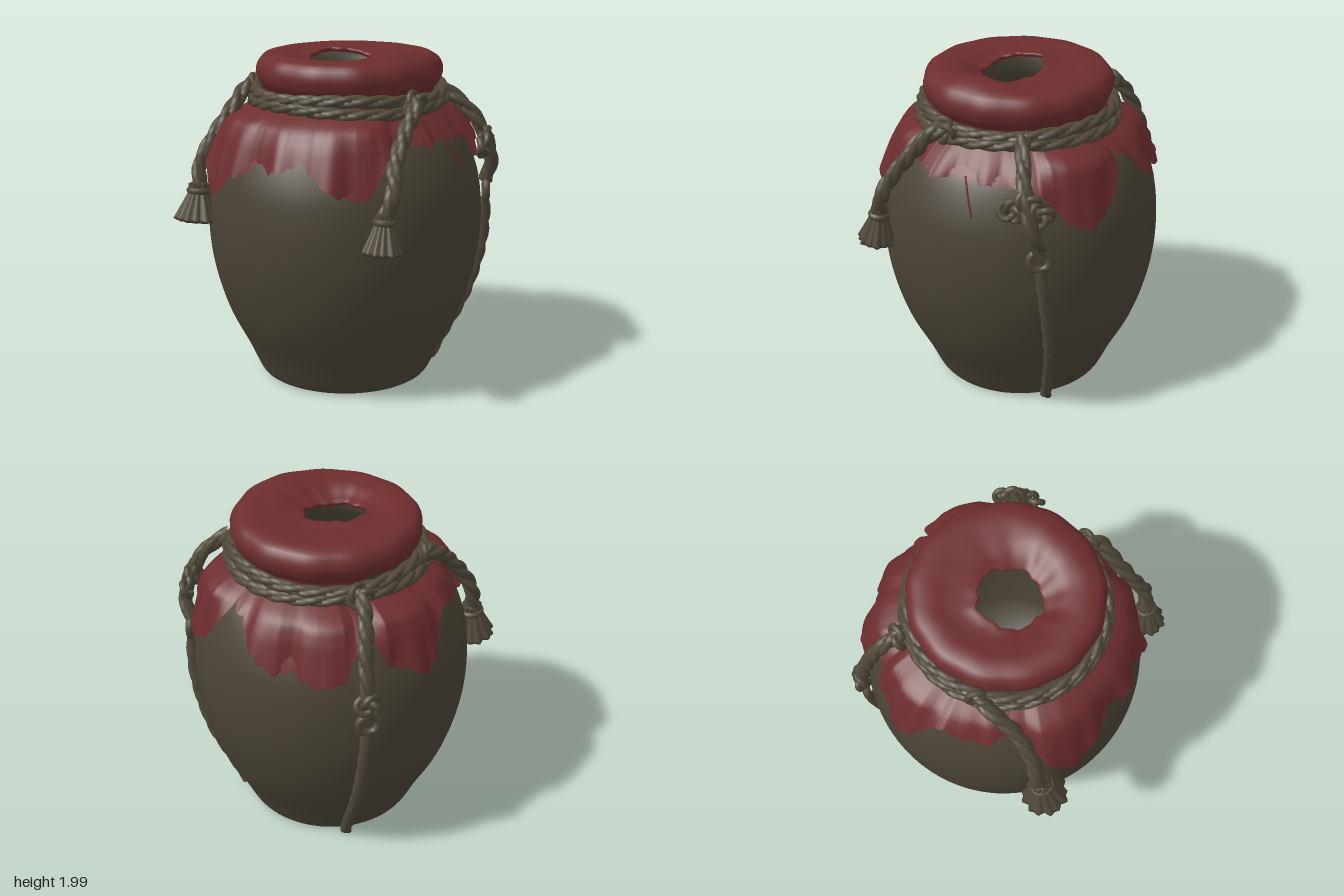
import * as THREE from 'three';
import { ParametricGeometry } from 'three/addons/geometries/ParametricGeometry.js';

const V = (x, y, z) => new THREE.Vector3(x, y, z);
const TAU = Math.PI * 2;
const { lerp, degToRad, smoothstep } = THREE.MathUtils;
const spline = points => new THREE.SplineCurve(points.map(p => new THREE.Vector2(p[0], p[1])));
const smooth = table => spline(table).getPoints(60).map(p => [p.x, p.y]);

// Linear lookup in rows of [key, value, ...]
function lookup(table, k, column = 1) {
  if (k <= table[0][0]) return table[0][column];
  for (let i = 1; i < table.length; i++) {
    const a = table[i - 1], b = table[i];
    if (k <= b[0]) return lerp(a[column], b[column], (k - a[0]) / (b[0] - a[0]));
  }
  return table[table.length - 1][column];
}

// Jar silhouette: height, radius
const JAR = smooth([[0.01, 0.5], [0.04, 0.53], [0.2, 0.603], [0.4, 0.703], [0.6, 0.77], [0.8, 0.81], [1, 0.821],
  [1.2, 0.805], [1.35, 0.765], [1.5, 0.695], [1.6, 0.61], [1.68, 0.5], [1.74, 0.46]]);
const JAR_X = -0.02, NECK_X = 0.01;

// Cloth skirt where it stands off the jar: height, radius
const SKIRT = smooth([[1.2, 0.845], [1.3, 0.825], [1.45, 0.78], [1.55, 0.745], [1.62, 0.7], [1.67, 0.6], [1.7, 0.5]]);
// Cloth hem: angle from the front towards +x in degrees, height, how far it stands off the jar
const HEM = [[0, 1.39, 0.7], [5, 1.41, 0.6], [10, 1.43, 0.6], [11, 1.48, 0.6], [17, 1.4, 0.6], [25, 1.31, 0.8], [36, 1.26, 1],
  [42, 1.3, 1], [47, 1.44, 0.8], [53, 1.54, 0.3], [62, 1.54, 0.2], [70, 1.51, 0.2], [80, 1.53, 0.15], [95, 1.51, 0.2],
  [107, 1.51, 0.2], [118, 1.5, 0.4], [124, 1.42, 1], [130, 1.32, 1.2], [138, 1.27, 1.3], [148, 1.33, 1.3], [154, 1.45, 0.9],
  [160, 1.6, 0.3], [168, 1.56, 0.3], [176, 1.43, 0.6], [188, 1.33, 0.8], [195, 1.37, 0.7], [205, 1.31, 0.9], [217, 1.34, 0.9],
  [222, 1.5, 0.3], [229, 1.54, 0.2], [235, 1.38, 0.8], [245, 1.33, 0.9], [251, 1.27, 0.9], [258, 1.34, 0.8], [263, 1.46, 0.5],
  [270, 1.56, 0.2], [280, 1.51, 0.3], [290, 1.49, 0.4], [299, 1.55, 0.3], [309, 1.54, 0.3], [315, 1.4, 0.8], [325, 1.22, 1],
  [328, 1.19, 1], [333, 1.24, 0.9], [339, 1.33, 0.8], [346, 1.36, 0.7], [352, 1.44, 0.7], [357, 1.39, 0.7], [360, 1.39, 0.7]];

// Cloth over the mouth, from the tied neck to the torn hole
const cap = spline([[0.5, 1.7], [0.495, 1.76], [0.53, 1.81], [0.545, 1.88], [0.51, 1.945], [0.43, 1.967],
  [0.33, 1.955], [0.24, 1.935], [0.18, 1.925], [0.185, 1.9]]);

function clothPoint(u, v, target) {
  const a = u * TAU, deg = u * 360;
  let r, y, x = NECK_X, inner = 0;
  if (v < 0.5) {
    const s = v * 2;
    const hem = lookup(HEM, deg) + 0.009 * Math.sin(61 * a) + 0.006 * Math.sin(97 * a);
    y = lerp(hem, 1.7, s);
    x = lerp(JAR_X, NECK_X, smoothstep(y, 1.6, 1.7));
    const fold = 0.022 * Math.sin(7 * a) + 0.014 * Math.sin(16 * a + 1) + 0.006 * Math.sin(31 * a);
    const base = lookup(JAR, y) + 0.014;
    const standOff = (lookup(SKIRT, y) - base) * lookup(HEM, deg, 2);
    r = Math.max(base, base + standOff + fold * (1 - s));
  } else {
    const t = (v - 0.5) * 2;
    const p = cap.getPoint(t);
    inner = smoothstep(t, 0.5, 0.9);
    r = p.x + 0.004 * Math.sin(13 * a) + inner * (0.007 * Math.sin(5 * a) + 0.005 * Math.sin(8 * a));
    const bump = Math.exp(-(((deg - 75) / 28) ** 2)) * Math.exp(-(((t - 0.64) / 0.14) ** 2));
    // the torn edge is low at the front right and high at the back left
    y = p.y + 0.036 * bump - 0.038 * smoothstep(t, 0.65, 0.9) * Math.cos(a - Math.PI / 4);
  }
  target.set(x + r * Math.sin(a) - 0.03 * inner, y, r * Math.cos(a) + 0.04 * inner);
}

// Three-strand twisted rope swept along points
function ropeGeometry(points, radius, closed = false) {
  const curve = new THREE.CatmullRomCurve3(points, closed);
  const length = curve.getLength();
  const n = Math.ceil(length * 80);
  const frames = curve.computeFrenetFrames(n, closed);
  const twist = Math.round(length / 0.28) * TAU;
  return new ParametricGeometry((u, v, target) => {
    const i = Math.min(n, Math.round(v * n));
    const a = u * TAU;
    const r = radius * (0.7 + 0.35 * Math.abs(Math.cos(1.5 * a + v * twist)));
    curve.getPointAt(Math.min(v, 1), target);
    target.addScaledVector(frames.normals[i], r * Math.cos(a)).addScaledVector(frames.binormals[i], r * Math.sin(a));
  }, 15, n);
}

// Frayed bundle from the bottom centre to the closed top: position, radius, height
const TASSEL = [[0, 0, 0.02], [0.1, 0.85, 0], [0.2, 1, 0.01], [0.6, 0.62, 0.12], [0.8, 0.42, 0.18], [0.9, 0.46, 0.22], [1, 0, 0.25]];
function tasselGeometry(radius) {
  return new ParametricGeometry((u, v, target) => {
    const a = u * TAU;
    const r = radius * lookup(TASSEL, v) * (1 + 0.07 * Math.sin(13 * a) + 0.05 * Math.sin(7 * a));
    target.set(r * Math.sin(a), lookup(TASSEL, v, 2), r * Math.cos(a));
  }, 52, 20);
}

// Point lying just off the jar at an angle (degrees) and height
function onJar(deg, y, off = 0.025) {
  const a = degToRad(deg), r = lookup(JAR, y) + off;
  return V(JAR_X + r * Math.sin(a), y, r * Math.cos(a));
}

export function createModel() {
  const model = new THREE.Group();
  const clay = new THREE.MeshStandardMaterial({ color: 0x4a4335 });
  const red = new THREE.MeshStandardMaterial({ color: 0x6d2d2e, side: THREE.DoubleSide });
  const hemp = new THREE.MeshStandardMaterial({ color: 0x504839 });
  clay.name = 'dark clay';
  red.name = 'red cloth';
  hemp.name = 'rope';

  const add = (name, geometry, material, pos, parent = model) => {
    const mesh = new THREE.Mesh(geometry, material);
    mesh.name = name;
    if (pos) mesh.position.copy(pos);
    parent.add(mesh);
    return mesh;
  };

  // Hollow jar: smooth outer wall, rim, inner wall and floor
  const profile = [[0.01, 0], ...JAR, [1.8, 0.49], [1.87, 0.5], [1.9, 0.46], [1.87, 0.41], [1.72, 0.4], [1.55, 0.55],
    [1.2, 0.73], [0.9, 0.74], [0.4, 0.62], [0.09, 0.48], [0.07, 0]].map(([y, r]) => new THREE.Vector2(r, y));
  add('jar', new THREE.LatheGeometry(profile, 96), clay, V(JAR_X, 0, 0));

  // Torn cloth cover with a loose thread
  add('clothCover', new ParametricGeometry(clothPoint, 288, 60), red);
  const thread = new THREE.CatmullRomCurve3([onJar(85, 1.54, 0.015), onJar(88, 1.45, 0.01), onJar(91, 1.34, 0.008)]);
  add('looseThread', new THREE.TubeGeometry(thread, 12, 0.006, 5), red);

  // Two rope turns around the neck
  [[1.755, 0.55, 0], [1.7, 0.565, 2]].forEach(([y, r, phase]) => {
    const ring = Array.from({ length: 24 }, (_, i) => {
      const a = i / 24 * TAU;
      return V(NECK_X + r * Math.sin(a), y + 0.012 * Math.sin(3 * a + phase), r * Math.cos(a));
    });
    add('neckRope', ropeGeometry(ring, 0.036, true), hemp);
  });

  // Knot made of a tangled loop, turned to face outwards
  const knot = (name, pos, size, turn = 0) => {
    const mesh = add(name, new THREE.TorusKnotGeometry(size, size * 0.42, 64, 8, 2, 3), hemp, pos);
    mesh.rotation.set(0, Math.atan2(pos.x, pos.z), turn);
  };

  // Front ropes ending in tassels
  const fronts = [
    { path: [V(0.54, 1.76, 0.2), V(0.59, 1.73, 0.28), V(0.59, 1.62, 0.38), V(0.6, 1.45, 0.52), V(0.63, 1.32, 0.59), V(0.6, 1.18, 0.63)],
      width: 0.105 },
    { path: [V(-0.53, 1.78, 0.12), V(-0.57, 1.74, 0.22), V(-0.58, 1.62, 0.38), V(-0.63, 1.45, 0.52), V(-0.67, 1.32, 0.57), V(-0.66, 1.18, 0.6)],
      width: 0.13 },
  ];
  fronts.forEach(({ path, width }) => {
    const end = path[path.length - 1];
    add('frontRope', ropeGeometry(path, 0.045), hemp);
    knot('neckKnot', path[0].clone().add(V(Math.sign(end.x) * 0.02, -0.02, 0.02)), 0.045);
    const tassel = new THREE.Group();
    tassel.name = 'tassel';
    tassel.position.copy(end).add(V(0, -0.19, 0.03));
    tassel.rotation.x = -0.15;
    add('tasselStrands', tasselGeometry(width), hemp, null, tassel);
    const band = add('tasselBinding', new THREE.TorusGeometry(width * 0.42, 0.02, 8, 24), hemp, V(0, 0.18, 0), tassel);
    band.rotation.x = Math.PI / 2;
    model.add(tassel);
  });

  // Back ropes: short piece to a ring, then a long piece down to the foot
  const backs = [
    { upper: [V(0.52, 1.76, -0.22), V(0.6, 1.7, -0.25), V(0.69, 1.6, -0.29), V(0.75, 1.47, -0.33), V(0.77, 1.33, -0.37), onJar(118, 1.2, 0.04)],
      angles: [118, 128], ringY: 1.14, tangle: [V(0.74, 1.48, -0.33), V(0.77, 1.44, -0.25), V(0.73, 1.42, -0.4)] },
    { upper: [V(-0.43, 1.78, -0.4), V(-0.5, 1.72, -0.46), V(-0.55, 1.6, -0.52), V(-0.58, 1.45, -0.57), V(-0.61, 1.32, -0.6), onJar(225, 1.14, 0.04)],
      angles: [225, 221], ringY: 1.08, tangle: [V(-0.45, 1.75, -0.42), V(-0.63, 1.22, -0.62)] },
  ];
  backs.forEach(({ upper, angles: [a0, a1], ringY, tangle }) => {
    add('backRope', ropeGeometry(upper, 0.043), hemp);
    tangle.forEach((p, i) => knot('backKnot', p, 0.045, i));
    const ring = add('ropeRing', new THREE.TorusGeometry(0.058, 0.022, 10, 28), hemp, onJar(a0, ringY, 0.035));
    ring.rotation.y = degToRad(a0);
    const lower = [ringY - 0.04, 0.95, 0.8, 0.6, 0.4, 0.2, 0.02].map(y => onJar(lerp(a1, a0, y / 1.1), y));
    add('longRope', ropeGeometry(lower, 0.036), hemp);
  });

  return model;
}
